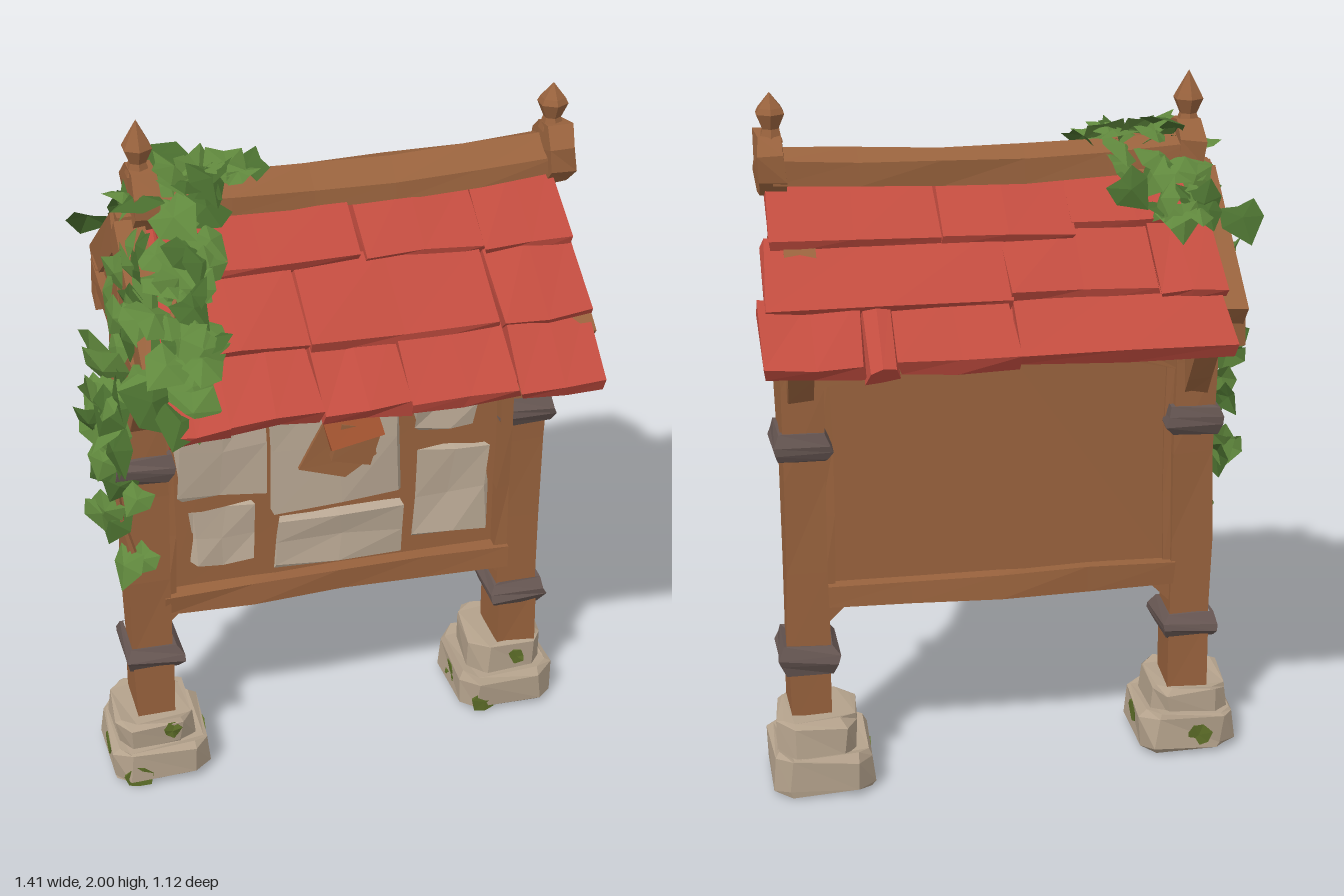
import * as THREE from 'three';
import { mergeGeometries } from 'three/addons/utils/BufferGeometryUtils.js';

const mat = (name, color, side = THREE.FrontSide) => {
  const m = new THREE.MeshStandardMaterial({ color, side });
  m.name = name;
  return m;
};

export function createModel() {
  const root = new THREE.Group();
  root.name = 'noticeBoard';
  const wood = mat('wood', 0x98623d), rust = mat('rust wood', 0xa0522f), red = mat('roof red', 0xc14c3f);
  const stone = mat('stone', 0xb3a18b), paper = mat('parchment', 0xb8a793), iron = mat('iron', 0x665652);
  const moss = mat('moss', 0x5f7029);
  const leafA = mat('leaf green', 0x60883d, THREE.DoubleSide), leafB = mat('dark leaf green', 0x486c2e, THREE.DoubleSide);

  let seed = 7;
  const rnd = () => (seed = (seed * 16807) % 2147483647) / 2147483647;
  const hash = (x, y, z, k) => {
    const v = Math.sin(Math.round(x * 500) * 12.9 + Math.round(y * 500) * 78.2 + Math.round(z * 500) * 37.7 + k * 5.3) * 43758.5;
    return (v - Math.floor(v)) * 2 - 1;
  };
  // Rough-hewn facets: shift coincident corners together, then face each polygon flat
  const hew = (geo, j) => {
    const p = geo.attributes.position;
    for (let i = 0; i < p.count; i++) {
      const [x, y, z] = [p.getX(i), p.getY(i), p.getZ(i)];
      p.setXYZ(i, x + j * hash(x, y, z, 1), Math.max(0, y + j * hash(x, y, z, 2)), z + j * hash(x, y, z, 3));
    }
    const g = geo.index ? geo.toNonIndexed() : geo;
    g.computeVertexNormals();
    return g;
  };
  const add = (name, geo, m, j = 0.006, parent = root) => {
    const mesh = new THREE.Mesh(hew(geo, j), m);
    mesh.name = name;
    parent.add(mesh);
    return mesh;
  };
  // Box given by its limits on each axis
  const block = (name, m, x0, x1, y0, y1, z0, z1, j, sx = 1, sy = 1, sz = 1) =>
    add(name, new THREE.BoxGeometry(x1 - x0, y1 - y0, z1 - z0, sx, sy, sz)
      .translate((x0 + x1) / 2, (y0 + y1) / 2, (z0 + z1) / 2), m, j);
  // Square bar between two points of a gable plane
  const bar = (name, x, z0, y0, z1, y1, w, t) => {
    const dz = z1 - z0, dy = y1 - y0;
    return add(name, new THREE.BoxGeometry(w, t, Math.hypot(dz, dy)).rotateX(-Math.atan2(dy, dz))
      .translate(x, (y0 + y1) / 2, (z0 + z1) / 2), wood, 0.005);
  };
  const poly = pts => new THREE.Shape(pts.map(p => new THREE.Vector2(...p)));
  const extrude = (pts, depth, steps = 1) => new THREE.ExtrudeGeometry(poly(pts), { depth, steps, bevelEnabled: false });
  // Stone slab with cut corners and bevelled edges
  const slab = (x, z, hx, hz, y0, y1) => {
    const b = 0.014, c = 0.035, [u, v] = [hx - b, hz - b];
    const shape = poly([[u, c - v], [u, v - c], [u - c, v], [c - u, v], [-u, v - c], [-u, c - v], [c - u, -v], [u - c, -v]]);
    add('footingStone', new THREE.ExtrudeGeometry(shape, { depth: y1 - y0 - 2 * b, bevelSize: b, bevelThickness: b, bevelSegments: 1 })
      .rotateX(-Math.PI / 2).translate(x, y0 + b, z), stone, 0.009);
  };
  const lathe = (pts, n) => new THREE.LatheGeometry(pts.map(p => new THREE.Vector2(...p)), n);

  // Two supports: stone footing, post, bands, gable truss, ridge cap and finial
  for (const [x, side, dz] of [[-0.515, -1, 0.02], [0.585, 1, -0.022]]) {
    const bx = side < 0 ? -0.512 : 0.557, bz = side < 0 ? 0.035 : -0.045, top = side < 0 ? 0.2 : 0.22;
    slab(bx, bz, 0.14, 0.147, 0.008, 0.125);
    slab(bx + side * 0.01, bz, 0.112, 0.12, 0.1, top);
    for (const [mx, my, mz, ry, r] of [[bx - 0.075, 0.035, bz + 0.134, 0, 0.034], [bx + 0.03, 0.165, bz + 0.108, 0, 0.022],
      [bx + 0.13, 0.08, bz, Math.PI / 2, 0.03], [bx - 0.03, 0.06, bz - 0.134, Math.PI, 0.03], [bx - 0.13, 0.06, bz, -Math.PI / 2, 0.03]])
      add('mossPatch', new THREE.CylinderGeometry(r * 1.2, r, 0.022, 7).rotateX(Math.PI / 2).rotateY(ry).translate(mx, my, mz), moss, 0.005);
    add('mossPatch', new THREE.CylinderGeometry(0.04, 0.035, 0.02, 7).translate(bx + 0.03, 0.01, bz), moss, 0);

    block('lowerPost', wood, x - 0.058, x + 0.058, 0.18, 0.4, dz - 0.078, dz + 0.078, 0.005);
    block('upperPost', wood, x - 0.058, x + 0.058, 0.39, 1.45, dz - 0.07, dz + 0.07, 0.006, 1, 4, 1);
    for (const y of [0.39, 1.02])
      add('ironBand', lathe([[0.08, -0.04], [0.094, -0.04], [0.115, -0.008], [0.115, 0.012], [0.094, 0.04], [0.08, 0.04]], 4)
        .rotateY(Math.PI / 4).scale(1, 1, 1.15).translate(x, y, dz), iron, 0.007);
    block('crossBeam', wood, x - 0.05, x + 0.05, 1.385, 1.445, -0.36, 0.36, 0.006, 1, 1, 4);
    block('kingPost', wood, x - 0.03, x + 0.03, 1.44, 1.75, -0.03, 0.03, 0.004);
    for (const s of [1, -1]) {
      block('beamEnd', wood, x - 0.052, x + 0.052, 1.335, 1.445, s * 0.32 - 0.05, s * 0.32 + 0.05, 0.008);
      bar('rafter', x, s * 0.38, 1.42, 0, 1.705, 0.085, 0.1);
      bar('strut', x, s * 0.25, 1.455, s * 0.01, 1.505, 0.06, 0.09);
      add('curvedBrace', extrude([[0.03, 1.08], [0.1, 1.16], [0.16, 1.24], [0.22, 1.31], [0.31, 1.335], [0.31, 1.385],
        [0.25, 1.37], [0.17, 1.345], [0.1, 1.29], [0.03, 1.22]], 0.07).translate(0, 0, -0.035).rotateY(-s * Math.PI / 2).translate(x, 0, 0), wood, 0.004);
    }
    const rx = side < 0 ? -0.475 : 0.64;
    add('ridgeCap', new THREE.CylinderGeometry(0.088, 0.088, 0.07, 8).rotateY(Math.PI / 8)
      .rotateZ(Math.PI / 2).translate(rx, 1.79, -0.005), wood, 0.006);
    const tip = side < 0 ? 2 : 1.98;
    add('finial', lathe([[0.036, 1.85], [0.024, 1.885], [0.042, 1.925], [0.034, 1.94], [0, tip]], 6)
      .translate(rx - 0.005, 0, -0.01), wood, 0);

    // Brackets below the board and braces above it
    const inner = x - side * 0.055;
    add('cornerBracket', extrude(side < 0 ? [[0, 0.46], [0.07, 0.53], [0, 0.53]] : [[0, 0.46], [0, 0.53], [-0.07, 0.53]], 0.07)
      .translate(inner, 0, -0.03), wood, 0);
    const brace = [[0, 1.2], [0, 1.28], [0.12, 1.34], [0.36, 1.34]];
    add('upperBrace', extrude(brace.map(([u, y]) => [-side * u, y]), 0.05).translate(inner, 0, -0.04), wood, 0.003);
  }

  // Board with frame
  const arch = (x, mid, end) => end + (mid - end) * (1 - ((x - 0.035) / 0.5) ** 2);
  const xs = [-0.465, -0.25, 0.035, 0.3, 0.535];
  add('boardPanel', extrude([[-0.465, 0.55], [0.535, 0.55], ...[...xs].reverse().map(x => [x, arch(x, 1.28, 1.19)])], 0.06)
    .translate(0, 0, -0.015), wood, 0.003);
  add('archedRail', extrude([...xs.map(x => [x, arch(x, 1.24, 1.165)]), ...[...xs].reverse().map(x => [x, arch(x, 1.32, 1.225)])], 0.13)
    .translate(0, 0, -0.045), wood, 0.006);
  block('bottomRail', wood, -0.47, 0.54, 0.52, 0.59, -0.055, 0.09, 0.006, 4);
  block('sideStrip', wood, -0.465, -0.435, 0.58, 1.2, -0.03, 0.075, 0.004, 1, 3);
  block('sideStrip', wood, 0.5, 0.535, 0.58, 1.2, -0.03, 0.075, 0.004, 1, 3);
  block('topBeam', wood, -0.53, 0.6, 1.325, 1.39, -0.06, 0.06, 0.007, 4);

  // Pinned notices
  for (const [x0, x1, y0, y1] of [[-0.42, -0.18, 0.88, 1.19], [-0.15, 0.21, 0.81, 1.2], [0.26, 0.43, 1.01, 1.15],
    [-0.385, -0.21, 0.66, 0.84], [-0.14, 0.215, 0.61, 0.775], [0.265, 0.47, 0.65, 0.93]])
    block('notice', paper, x0, x1, y0, y1, 0.04, 0.062, 0.012, 2, 2, 1);

  // Small wooden box with a slanted lid on the middle notice
  add('boxBacking', extrude([[-0.085, 0.94], [0.05, 0.9], [0.14, 0.96], [0.12, 1.1], [0, 1.1]], 0.025).translate(0, 0, 0.055), wood, 0.004);
  add('smallBox', new THREE.BoxGeometry(0.11, 0.12, 0.06).rotateZ(-0.25).translate(0.07, 1.02, 0.09), wood, 0.006);
  add('smallBoxLid', new THREE.BoxGeometry(0.15, 0.1, 0.03).rotateX(-0.5).rotateZ(0.2).translate(0.06, 1.085, 0.105), rust, 0.006);

  // Roof: an underlay and three overlapping rows of tiles on each slope
  const pitch = 0.647;
  const onSlope = (geo, s) => {
    geo.rotateX(pitch);
    if (s < 0) geo.rotateY(Math.PI);
    return geo.translate(0, 1.79, 0);
  };
  const rows = {
    1: [[-0.46, 0.06, 0.39, 0.63], [-0.5, -0.13, 0.38, 0.63], [-0.53, -0.37, -0.13, 0.1, 0.39, 0.62]],
    '-1': [[-0.49, -0.13, 0.22, 0.66], [-0.5, -0.33, 0.06, 0.68], [-0.5, 0.06, 0.37, 0.45, 0.7]],
  };
  for (const s of [1, -1]) {
    add('roofUnderlay', onSlope(new THREE.BoxGeometry(1.13, 0.025, 0.6).translate(s * 0.065, -0.06, 0.32), s), red, 0.003);
    [[0.03, 0.265], [0.23, 0.475], [0.44, 0.665]].forEach(([u0, u1], r) => {
      const cuts = rows[s][r];
      for (let i = 0; i < cuts.length - 1; i++) {
        const a = cuts[i] + 0.002, b = cuts[i + 1] - 0.002, len = u1 - u0 + (rnd() - 0.5) * 0.035;
        const tile = new THREE.BoxGeometry(b - a, 0.042, len, 2, 1, 1).translate(0, 0, len / 2)
          .rotateX(-0.1).translate(s * (a + b) / 2, -0.042 + rnd() * 0.008, u0);
        add('roofTile', onSlope(tile, s), red, 0.009);
      }
    });
  }

  // Sagging ridge beam with a peaked top
  const ridge = extrude([[-0.08, 1.75], [0.06, 1.75], [0.055, 1.795], [-0.02, 1.84], [-0.08, 1.815]], 1.11, 5)
    .rotateY(-Math.PI / 2).translate(0.635, 0, 0);
  const rp = ridge.attributes.position;
  for (let i = 0; i < rp.count; i++) rp.setY(i, rp.getY(i) - 0.022 * (1 - ((rp.getX(i) - 0.08) / 0.555) ** 2));
  add('ridgeBeam', ridge, wood, 0.004);

  // Ivy: leaves scattered round vine paths [points, count, spread, outward direction, size]
  const V = (...a) => new THREE.Vector3(...a);
  const leaf = new THREE.BufferGeometry();
  const rim = [[0, 0], [0.42, -0.08], [0.5, 0.4], [0, 1], [-0.5, 0.4], [-0.42, -0.08]];
  leaf.setAttribute('position', new THREE.Float32BufferAttribute(
    rim.flatMap((p, i) => [0, 0.35, 0.16, ...p, 0, ...rim[(i + 1) % 6], 0]), 3));
  const leaves = [[], []];
  const ivy = new THREE.Group();
  ivy.name = 'ivy';
  root.add(ivy);
  const vines = [
    [[V(-0.24, 1.82, -0.03), V(-0.36, 1.82, 0), V(-0.48, 1.76, 0.04)], 20, 0.07, V(0, 1, 0.3), 0.11],
    [[V(-0.4, 1.77, 0.05), V(-0.42, 1.66, 0.17), V(-0.47, 1.54, 0.32), V(-0.48, 1.46, 0.41)], 34, 0.1, V(-0.1, 0.8, 0.6), 0.115],
    [[V(-0.3, 1.77, -0.05), V(-0.4, 1.71, -0.12), V(-0.5, 1.64, -0.2)], 22, 0.09, V(-0.1, 0.8, -0.6), 0.11],
    [[V(-0.52, 1.7, 0.06), V(-0.56, 1.52, 0.18), V(-0.61, 1.35, 0.2), V(-0.6, 1.15, 0.11)], 25, 0.065, V(-0.9, 0.2, 0.4), 0.115],
    [[V(-0.6, 1.2, 0.1), V(-0.6, 1.05, 0.09), V(-0.585, 0.88, 0.09), V(-0.55, 0.73, 0.1)], 12, 0.06, V(-0.7, 0.1, 0.7), 0.1],
  ];
  for (const [pts, count, spread, out, size] of vines) {
    const curve = new THREE.CatmullRomCurve3(pts);
    add('vineStem', new THREE.TubeGeometry(curve, 10, 0.009, 5), wood, 0, ivy);
    const face = out.clone().normalize();
    for (let i = 0; i < count; i++) {
      const jig = k => V(rnd() - 0.5, rnd() - 0.5, rnd() - 0.5).multiplyScalar(2 * k);
      const n = face.clone().add(jig(0.6)).normalize();
      const down = V(0, -1, 0).addScaledVector(out, 0.2).add(jig(0.6));
      const y = down.addScaledVector(n, -down.dot(n)).normalize();
      const x = y.clone().cross(n);
      const shift = jig(spread);
      shift.addScaledVector(face, 0.015 - shift.dot(face) * 0.75);
      const at = curve.getPoint((i + 0.5) / count).add(shift).addScaledVector(y, -size * 0.4);
      const k = size * (0.8 + rnd() * 0.4);
      const m = new THREE.Matrix4().makeBasis(x, y, n).scale(V(k, k, k)).setPosition(at);
      leaves[i % 3 === 0 ? 1 : 0].push(leaf.clone().applyMatrix4(m));
    }
  }
  leaves.forEach((list, i) => add('ivyLeaves', mergeGeometries(list), i ? leafB : leafA, 0, ivy));

  return root;
}
